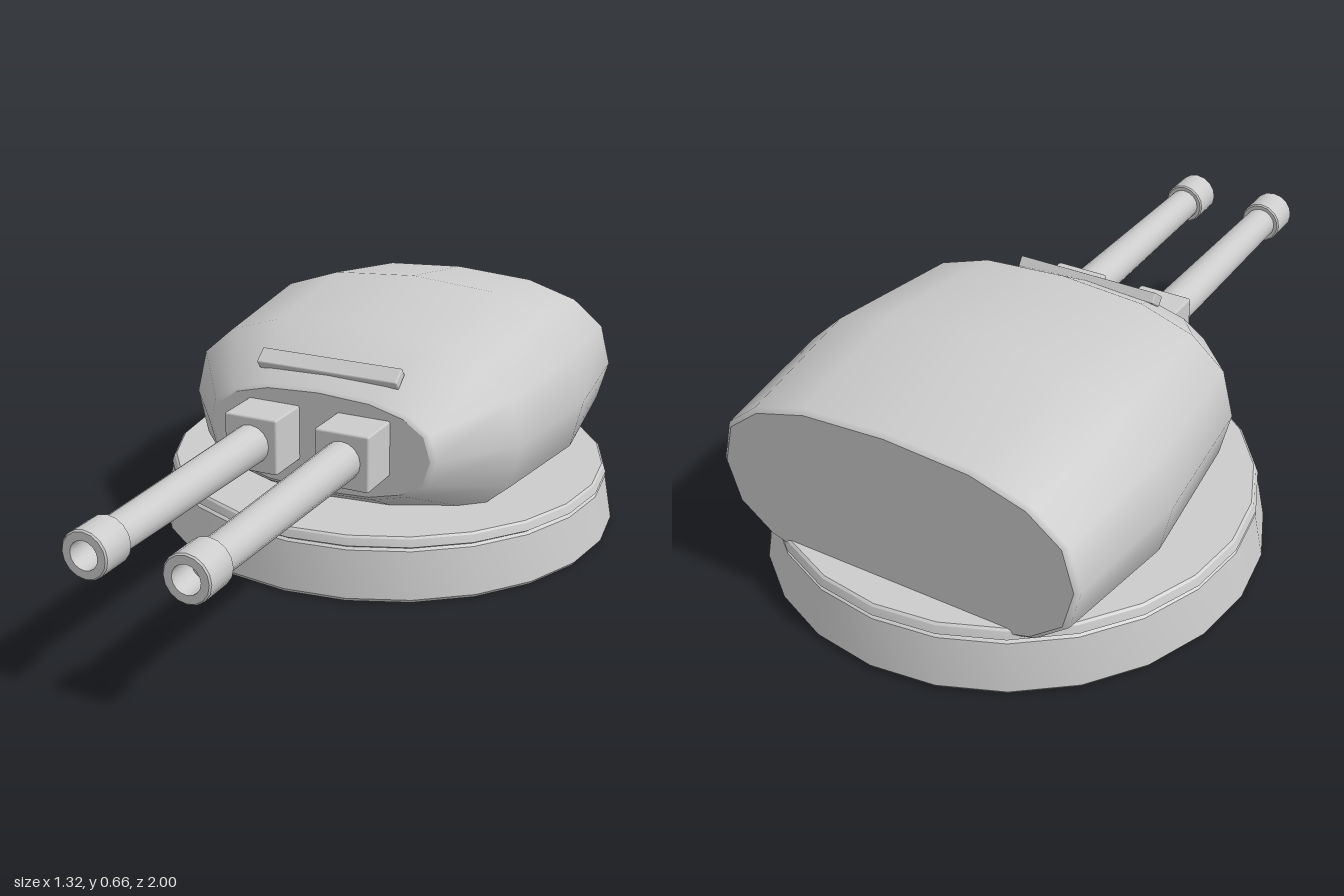
import * as THREE from 'three';
import { toCreasedNormals } from 'three/addons/utils/BufferGeometryUtils.js';
import { RoundedBoxGeometry } from 'three/addons/geometries/RoundedBoxGeometry.js';

const grey = new THREE.MeshStandardMaterial({ color: 0xcccccc });

function addMesh(parent, name, geometry, x = 0, y = 0, z = 0) {
  const mesh = new THREE.Mesh(geometry, grey);
  mesh.name = name;
  mesh.position.set(x, y, z);
  parent.add(mesh);
  return mesh;
}

// Turned part; profile is a list of [radius, height], going up the outside
function turned(profile, sides) {
  const points = profile.map(([r, h]) => new THREE.Vector2(r, h));
  return toCreasedNormals(new THREE.LatheGeometry(points, sides), 0.5);
}

// Rounded, superelliptical hull lofted through stations from front to back
function hullGeometry() {
  const sides = 16;
  // z, half width, half height, centre height
  const stations = [
    [0.12, 0.325, 0.14, 0.353], [0.112, 0.34, 0.15, 0.353],
    [-0.09, 0.5, 0.27, 0.355], [-0.5, 0.54, 0.307, 0.355],
    [-0.868, 0.503, 0.248, 0.355], [-0.878, 0.49, 0.237, 0.355],
  ];
  const power = (v) => Math.sign(v) * Math.abs(v) ** 0.8;
  const positions = [];
  const index = [];
  const addRing = ([z, w, h, cy]) => {
    const start = positions.length / 3;
    for (let j = 0; j < sides; j++) {
      const a = (j / sides) * Math.PI * 2;
      positions.push(w * power(Math.sin(a)), cy + h * power(Math.cos(a)), z);
    }
    return start;
  };

  // Skin
  const rings = stations.map(addRing);
  for (let i = 0; i < rings.length - 1; i++) {
    for (let j = 0; j < sides; j++) {
      const k = (j + 1) % sides;
      const a = rings[i] + j, b = rings[i] + k;
      const c = rings[i + 1] + j, d = rings[i + 1] + k;
      index.push(a, b, c, b, d, c);
    }
  }

  // Flat end caps with their own vertices
  for (const [station, front] of [[stations[0], true], [stations.at(-1), false]]) {
    const start = addRing(station);
    const centre = positions.length / 3;
    positions.push(0, station[3], station[0]);
    for (let j = 0; j < sides; j++) {
      const a = start + j, b = start + ((j + 1) % sides);
      if (front) index.push(centre, b, a);
      else index.push(centre, a, b);
    }
  }

  const geometry = new THREE.BufferGeometry();
  geometry.setAttribute('position', new THREE.Float32BufferAttribute(positions, 3));
  geometry.setIndex(index);
  geometry.computeVertexNormals();
  return geometry;
}

// Square mantlet, tapered barrel and hollow muzzle collar, pointing along +z
function createGun(name, x) {
  const gun = new THREE.Group();
  gun.name = name;
  gun.position.set(x, 0.37, 0);

  addMesh(gun, 'mantlet', new RoundedBoxGeometry(0.155, 0.155, 0.2, 1, 0.006), 0, 0, 0.15);

  const barrel = turned([
    [0.055, 0.2], [0.047, 0.905],
  ], 16);
  addMesh(gun, 'barrel', barrel.rotateX(Math.PI / 2));

  const muzzle = turned([
    [0.045, 0.9], [0.058, 0.9], [0.062, 0.904], [0.062, 0.996],
    [0.058, 1], [0.037, 1], [0.037, 0.92], [0, 0.92],
  ], 16);
  addMesh(gun, 'muzzle', muzzle.rotateX(Math.PI / 2));
  return gun;
}

export function createModel() {
  const model = new THREE.Group();
  model.name = 'gunTurret';

  // Tapered ring mount with a grooved top rim
  addMesh(model, 'base', turned([
    [0, 0], [0.655, 0], [0.662, 0.01], [0.638, 0.138], [0.63, 0.144],
    [0.639, 0.15], [0.632, 0.17], [0.626, 0.175], [0, 0.175],
  ], 24), 0, 0, -0.337);

  addMesh(model, 'turretHull', hullGeometry());

  for (const side of [-1, 1]) {
    model.add(createGun(side > 0 ? 'leftGun' : 'rightGun', side * 0.133));
  }

  // Slim sight bar lying on the sloping brow
  const sight = addMesh(model, 'sightBar',
    new RoundedBoxGeometry(0.415, 0.03, 0.05, 1, 0.004), 0, 0.541, 0.05);
  sight.rotation.x = 0.65;

  return model;
}
